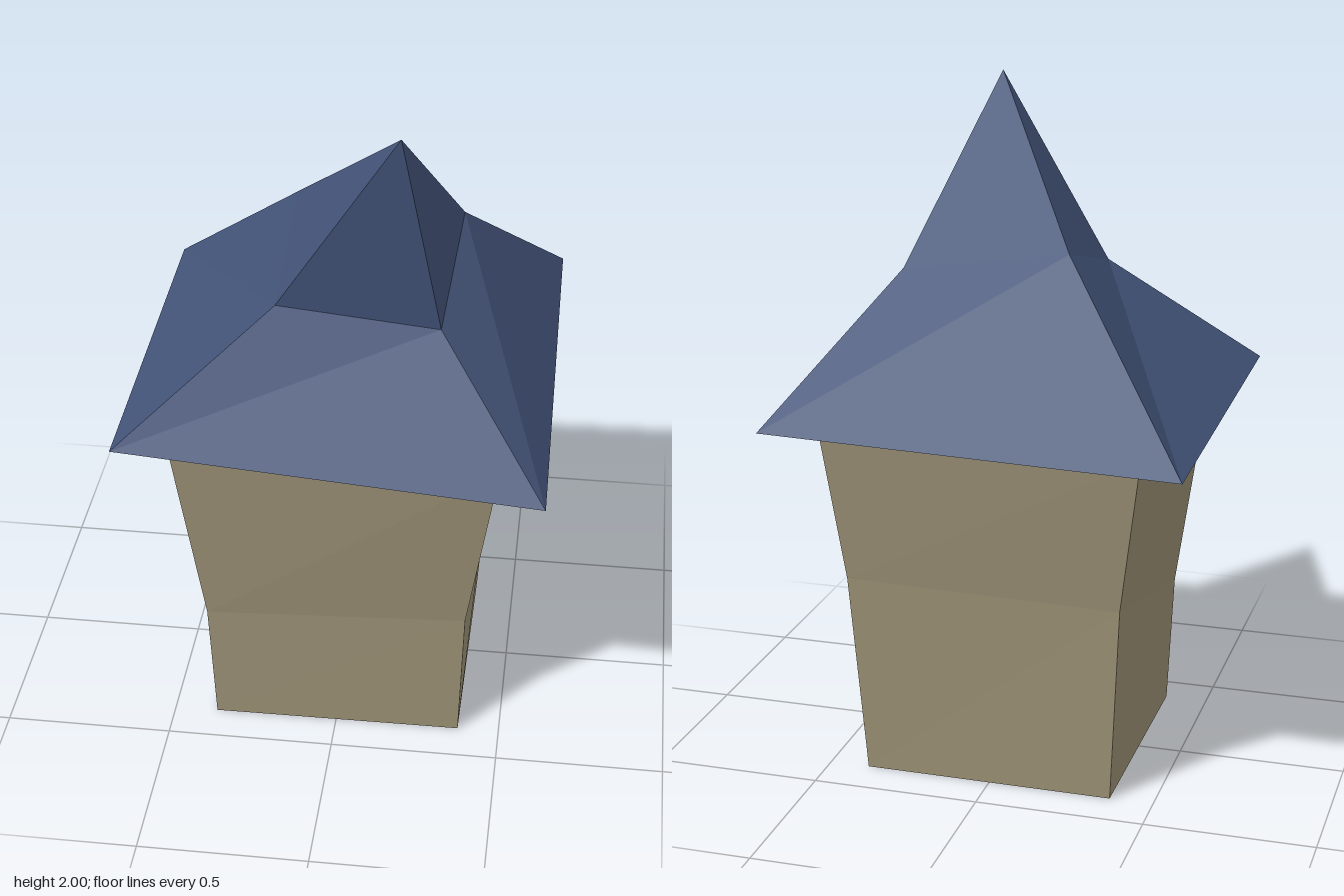
import * as THREE from 'three';

const mat = (name, color, side = THREE.FrontSide) => {
  const m = new THREE.MeshStandardMaterial({ color, side });
  m.name = name;
  return m;
};

// Skins consecutive four-corner rings (bottom to top) with flat faces.
function loft(rings) {
  const pos = [];
  for (let r = 0; r < rings.length - 1; r++) {
    const lo = rings[r], hi = rings[r + 1];
    for (let i = 0; i < 4; i++) {
      const j = (i + 1) % 4;
      pos.push(...lo[i], ...lo[j], ...hi[j % hi.length]);
      if (hi.length > 1) pos.push(...lo[i], ...hi[j], ...hi[i]);
    }
  }
  return build(pos);
}

function build(pos) {
  const g = new THREE.BufferGeometry();
  g.setAttribute('position', new THREE.Float32BufferAttribute(pos, 3));
  g.computeVertexNormals();
  return g;
}

export function createModel() {
  const group = new THREE.Group();
  group.name = 'crookedTower';
  const stone = mat('tan wall', 0x9c9176, THREE.DoubleSide);
  const slate = mat('blue roof', 0x435479);
  const wood = mat('brown underside', 0x442e1e);

  const add = (name, geometry, material) => {
    const mesh = new THREE.Mesh(geometry, material);
    mesh.name = name;
    group.add(mesh);
  };

  // Ring order: front left of picture, front right, back right, back left.
  // Walls: open at the bottom, flaring towards the roof
  add('walls', loft([
    [[-0.37, 0, 0.385], [0.375, 0, 0.38], [0.38, 0, -0.365], [-0.37, 0, -0.37]],
    [[-0.385, 0.4, 0.405], [0.388, 0.435, 0.4], [0.418, 0.62, -0.408], [-0.4, 0.6, -0.4]],
    [[-0.475, 1.09, 0.48], [0.475, 1.02, 0.48], [0.475, 1.1, -0.47], [-0.47, 1.075, -0.47]],
  ]), stone);

  // Roof: skewed eaves, a kinked middle ring and a leaning tip
  const eaves = [[-0.6, 1.1, 0.61], [0.61, 0.995, 0.597], [0.6, 1.11, -0.615], [-0.615, 1.07, -0.6]];
  add('roof', loft([
    eaves,
    [[-0.17, 1.445, 0.345], [0.29, 1.385, 0.32], [0.315, 1.5, -0.16], [-0.17, 1.56, -0.115]],
    [[0.18, 2, 0.4]],
  ]), slate);

  // Underside of the eaves, facing down
  const [a, b, c, d] = eaves;
  add('roofUnderside', build([a, d, c, a, c, b].flat()), wood);

  return group;
}
